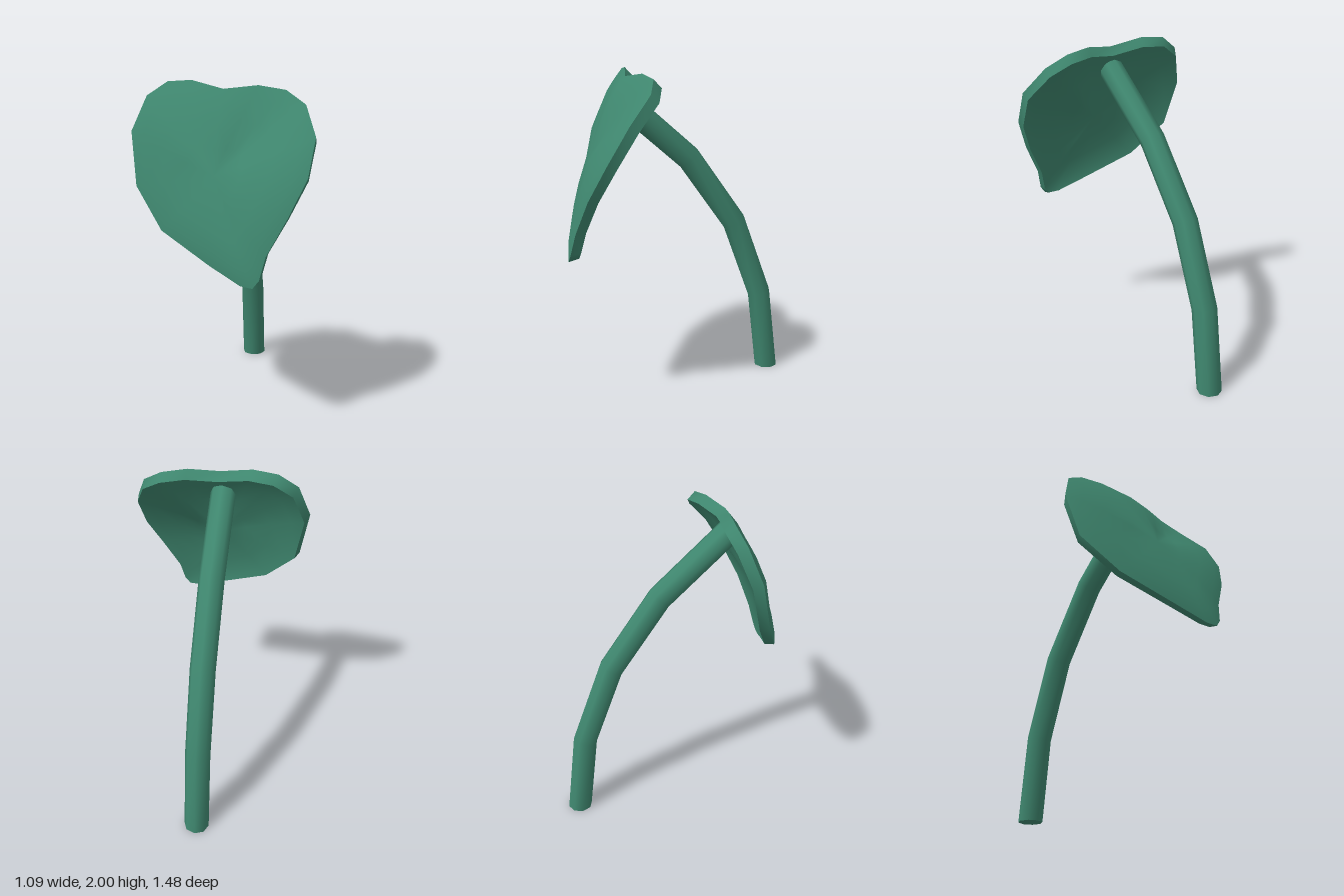
import * as THREE from 'three';

// Indexed surface with smooth normals from points and triangle corners
function surface(points, index) {
  const g = new THREE.BufferGeometry().setFromPoints(points);
  g.setIndex(index);
  g.computeVertexNormals();
  return g;
}

// Corners of the band joining consecutive loops of n points
function bandIndex(count, n) {
  const index = [];
  for (let k = 0; k < count - 1; k++) {
    for (let i = 0; i < n; i++) {
      const a = k * n + i, b = k * n + (i + 1) % n;
      index.push(a, a + n, b, b, a + n, b + n);
    }
  }
  return index;
}

const band = (loops) => surface(loops.flat(), bandIndex(loops.length, loops[0].length));

// Closed face: loops running inwards, ended by a fan to the centre point
function disc(loops, centre, flip) {
  const n = loops[0].length, last = (loops.length - 1) * n;
  const index = bandIndex(loops.length, n);
  for (let i = 0; i < n; i++) index.push(last + i, loops.length * n, last + (i + 1) % n);
  if (!flip) index.reverse();
  return surface([...loops.flat(), centre], index);
}

export function createModel() {
  const group = new THREE.Group();
  const green = new THREE.MeshStandardMaterial({ color: 0x3f876f });
  green.name = 'leaf green';
  const add = (name, geometry, parent) => {
    const mesh = new THREE.Mesh(geometry, green);
    mesh.name = name;
    parent.add(mesh);
  };

  // Leaf blade: heart outline, counter-clockwise from the notch
  const outline = [
    [0, 1.955, 0.315], [-0.2, 2.0, 0.26], [-0.35, 1.99, 0.235], [-0.47, 1.91, 0.26],
    [-0.545, 1.71, 0.33], [-0.495, 1.405, 0.41], [-0.305, 1.18, 0.54], [0, 1.03, 0.66],
    [0.19, 0.945, 0.725], [0.26, 0.94, 0.74], [0.295, 0.985, 0.735], [0.325, 1.11, 0.71],
    [0.43, 1.31, 0.66], [0.52, 1.51, 0.575], [0.542, 1.715, 0.455], [0.465, 1.875, 0.31],
    [0.345, 1.95, 0.255], [0.19, 1.975, 0.27],
  ].map((p) => new THREE.Vector3(...p));
  const centre = new THREE.Vector3(0, 1.5, 0.485);

  // Loops shrink towards the centre while the blade bulges forward
  const bulged = (p, t) => {
    const q = centre.clone().lerp(p, t);
    q.z += 0.06 * (1 - t ** 4);
    return q;
  };
  const front = [1, 0.85, 0.6, 0.3].map((t) => outline.map((p) => bulged(p, t)));
  const frontMiddle = bulged(centre, 0);

  // The back is the front, slightly smaller and set behind it
  const shrink = new THREE.Vector3(0.97, 0.935, 0.97);
  const offset = new THREE.Vector3(0.013, -0.02, -0.053);
  const toBack = (p) => p.clone().sub(centre).multiply(shrink).add(centre).add(offset);
  const back = front.map((loop) => loop.map(toBack));

  const leaf = new THREE.Group();
  leaf.name = 'leaf';
  add('leafFront', disc(front, frontMiddle, false), leaf);
  add('leafBack', disc(back, toBack(frontMiddle), true), leaf);
  add('leafRim', band([front[0], back[0]]), leaf);
  group.add(leaf);

  // Stem: eight-sided rings along a bent path, given as [y, z, tilt direction y, z]
  const path = [
    [0, -0.66, 1, 0], [0.53, -0.593, 0.96, 0.26], [1.027, -0.402, 0.89, 0.45],
    [1.453, -0.09, 0.72, 0.69], [1.82, 0.34, 0.65, 0.76],
  ];
  const radius = 0.077, sides = 8, stemX = -0.016;
  const rings = path.map(([y, z, ty, tz]) => Array.from({ length: sides }, (_, i) => {
    const a = (i / sides) * Math.PI * 2;
    const c = radius * Math.cos(a), s = radius * Math.sin(a);
    return new THREE.Vector3(stemX + c, y - s * tz, z + s * ty);
  }));
  const middle = (k) => new THREE.Vector3(stemX, path[k][0], path[k][1]);

  const stem = new THREE.Group();
  stem.name = 'stem';
  add('stemTube', band(rings), stem);
  add('stemBase', disc([rings[0]], middle(0), false), stem);
  add('stemTip', disc([rings[4]], middle(4), true), stem);
  group.add(stem);

  return group;
}
